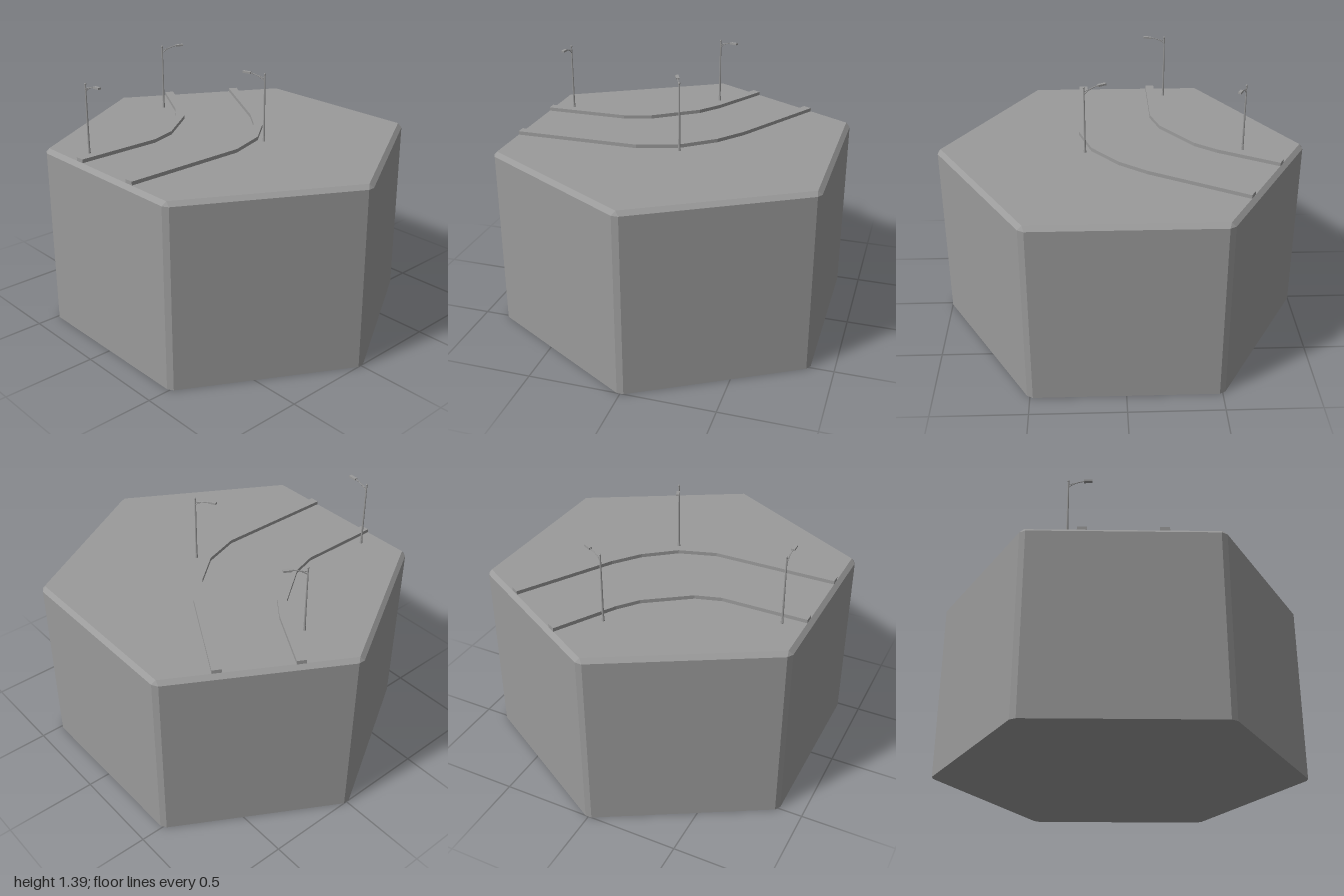
import * as THREE from 'three';
import { ConvexGeometry } from 'three/addons/geometries/ConvexGeometry.js';

const TOP = 1.012;
const GREY = 0x9a9a9a;
const material = new THREE.MeshStandardMaterial({ color: GREY, flatShading: true });
const smooth = new THREE.MeshStandardMaterial({ color: GREY });

function addMesh(parent, name, geometry, mat = material) {
  const mesh = new THREE.Mesh(geometry, mat);
  mesh.name = name;
  parent.add(mesh);
  return mesh;
}

// Hexagonal block: cut vertical corners, bevelled rim around a sharp hexagonal top
function tileGeometry() {
  const points = [];
  const up = new THREE.Vector3(0, 1, 0);
  for (let k = 0; k < 6; k++) {
    const add = (x, y, z) =>
      points.push(new THREE.Vector3(x, y, z).applyAxisAngle(up, (k * Math.PI) / 3));
    for (const z of [-0.018, 0.018]) {
      add(1, 0, z);
      add(1, 0.99, z);
    }
    add(0.985, TOP, 0);
  }
  return new ConvexGeometry(points);
}

// Kerb: a path of [x, z] points widened with mitred joints, then raised
function kerbGeometry(path, width, height) {
  const pts = path.map(([x, z]) => new THREE.Vector2(x, -z));
  const dirs = pts.slice(1).map((p, i) => p.clone().sub(pts[i]).normalize());
  const offset = (side) => pts.map((p, i) => {
    const a = dirs[Math.max(i - 1, 0)];
    const b = dirs[Math.min(i, dirs.length - 1)];
    const normal = new THREE.Vector2(-a.y - b.y, a.x + b.x).normalize();
    const miter = 1 / (normal.x * -a.y + normal.y * a.x);
    return p.clone().addScaledVector(normal, side * miter * width / 2);
  });
  const shape = new THREE.Shape([...offset(1), ...offset(-1).reverse()]);
  return new THREE.ExtrudeGeometry(shape, { depth: height, bevelEnabled: false })
    .rotateX(-Math.PI / 2);
}

// Street lamp with its arm reaching along local +x
function createLamp() {
  const lamp = new THREE.Group();
  lamp.name = 'streetLamp';
  addMesh(lamp, 'lampBase', new THREE.CylinderGeometry(0.006, 0.008, 0.03, 8)).position.y = 0.015;
  addMesh(lamp, 'lampPole', new THREE.CylinderGeometry(0.004, 0.006, 0.37, 8), smooth).position.y = 0.185;
  addMesh(lamp, 'poleCap', new THREE.SphereGeometry(0.006, 8, 6), smooth).position.y = 0.372;

  const arm = new THREE.QuadraticBezierCurve3(
    new THREE.Vector3(0, 0.333, 0), new THREE.Vector3(0.03, 0.365, 0), new THREE.Vector3(0.085, 0.372, 0));
  addMesh(lamp, 'lampArm', new THREE.TubeGeometry(arm, 10, 0.0027, 6), smooth);
  const brace = new THREE.LineCurve3(
    new THREE.Vector3(0, 0.35, 0), new THREE.Vector3(0.04, 0.362, 0));
  addMesh(lamp, 'armBrace', new THREE.TubeGeometry(brace, 1, 0.0018, 6), smooth);

  const head = addMesh(lamp, 'lampHead', new THREE.BoxGeometry(0.045, 0.01, 0.018));
  head.position.set(0.103, 0.373, 0);
  head.rotation.z = 0.06;
  return lamp;
}

export function createModel() {
  const model = new THREE.Group();
  model.name = 'roadTile';
  addMesh(model, 'hexBlock', tileGeometry());

  // Two kerbs lining the bend of the road
  const kerbs = {
    outerKerb: [[0.207, 0.853], [0.207, 0.17], [0.14, -0.04], [0.003, -0.21], [-0.14, -0.32], [-0.636, -0.604]],
    innerKerb: [[-0.207, 0.853], [-0.207, 0.39], [-0.25, 0.245], [-0.42, 0.01], [-0.53, -0.075], [-0.842, -0.25]],
  };
  for (const [name, path] of Object.entries(kerbs)) {
    addMesh(model, name, kerbGeometry(path, 0.05, 0.03)).position.y = TOP - 0.01;
  }

  // Lamps: x, z and turn about the pole
  for (const [x, z, turn] of [[-0.285, 0.74, 0], [-0.66, -0.06, 1.12], [0.197, -0.065, -2.74]]) {
    const lamp = createLamp();
    lamp.position.set(x, TOP, z);
    lamp.rotation.y = turn;
    model.add(lamp);
  }
  return model;
}
